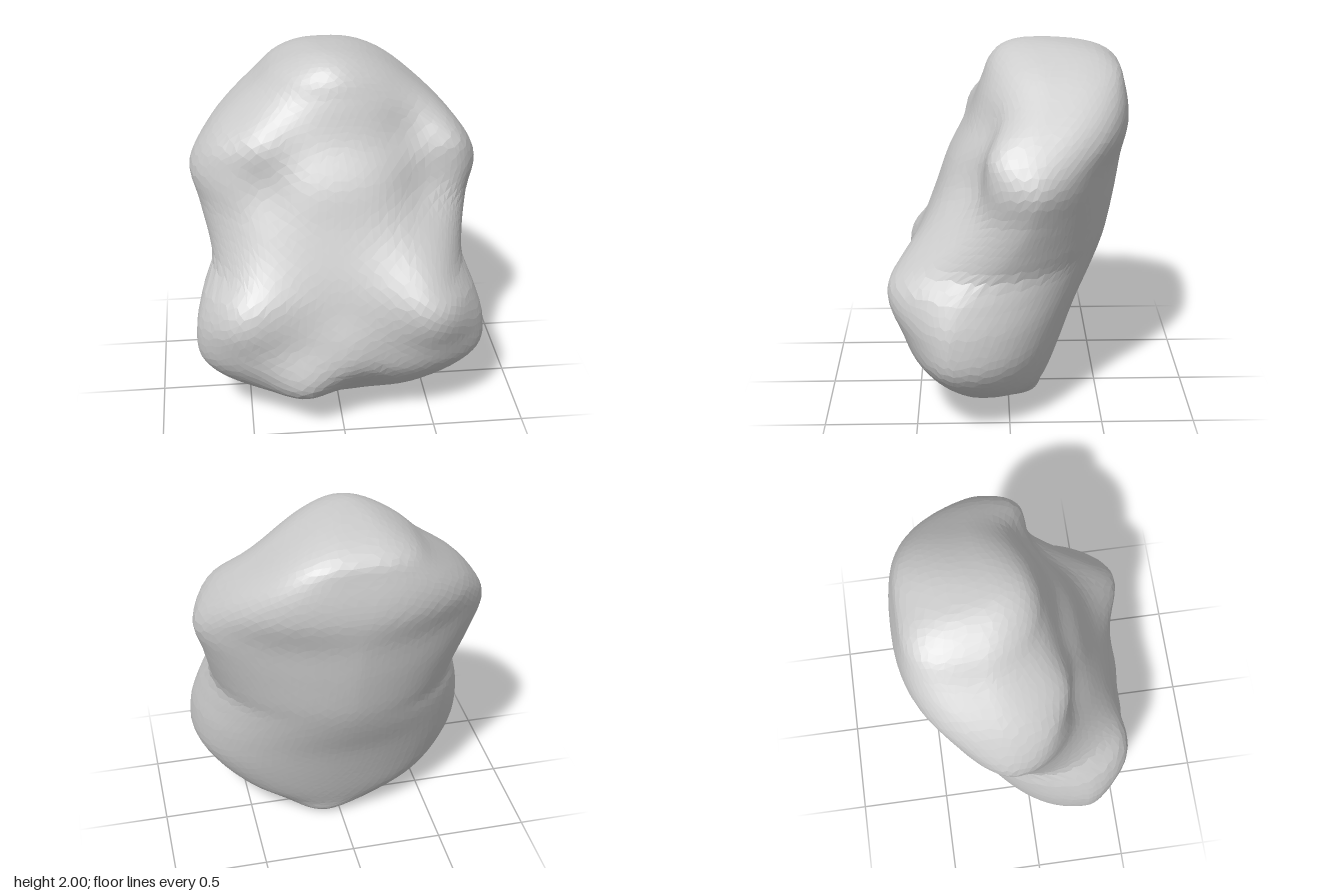
import * as THREE from 'three';

// Cross-sections, top to bottom: y, min x, max x, z of widest point, front z, back z,
// and back roundness (below 1 boxy, above 1 wedge-like)
const SECTIONS = [
  [2.00, -0.04, -0.04, -0.11, -0.11, -0.11, 0.75],
  [1.97, -0.19, 0.14, -0.18, 0.03, -0.43, 0.7],
  [1.90, -0.32, 0.29, -0.21, 0.10, -0.57, 0.62],
  [1.80, -0.43, 0.43, -0.21, 0.14, -0.61, 0.62],
  [1.60, -0.66, 0.65, -0.17, 0.21, -0.64, 0.9],
  [1.40, -0.78, 0.77, -0.13, 0.32, -0.61, 1.22],
  [1.20, -0.74, 0.73, -0.08, 0.39, -0.58, 1.2],
  [1.00, -0.69, 0.69, 0.02, 0.46, -0.54, 1.12],
  [0.90, -0.68, 0.68, 0.09, 0.49, -0.51, 1.08],
  [0.80, -0.73, 0.72, 0.17, 0.51, -0.47, 1.05],
  [0.60, -0.78, 0.78, 0.26, 0.53, -0.38, 1],
  [0.40, -0.76, 0.77, 0.27, 0.54, -0.31, 1],
  [0.20, -0.58, 0.58, 0.17, 0.42, -0.24, 0.95],
  [0.10, -0.34, 0.38, 0.06, 0.28, -0.20, 0.95],
  [0.03, -0.08, 0.22, -0.05, 0.12, -0.17, 1],
  [0.00, 0.08, 0.08, -0.10, -0.10, -0.10, 1],
];

// Local swellings and hollows: centre, radius, push in x and z
const BUMPS = [
  { at: [0.50, 0.82, 0.42], r: 0.30, dx: 0.01, dz: 0.21 },   // left lower lobe
  { at: [-0.56, 0.75, 0.40], r: 0.27, dx: -0.01, dz: 0.13 }, // right lower lobe
  { at: [-0.22, 0.29, 0.47], r: 0.18, dx: 0, dz: 0.10 },     // lower lip
  { at: [0.02, 0.55, 0.52], r: 0.18, dx: 0, dz: 0.05 },      // belly
  { at: [0.08, 0.22, 0.40], r: 0.19, dx: 0, dz: -0.06 },     // notch under the front
  { at: [-0.40, 1.60, 0.10], r: 0.17, dx: -0.02, dz: 0.07 }, // right front knob
  { at: [-0.38, 1.36, 0.25], r: 0.15, dx: 0, dz: -0.04 },    // hollow below the knob
  { at: [-0.62, 1.56, 0.00], r: 0.16, dx: -0.01, dz: 0.06 }, // right shoulder
  { at: [0.64, 1.57, 0.00], r: 0.17, dx: 0.02, dz: 0.08 },   // left shoulder
  { at: [0.45, 1.33, 0.20], r: 0.18, dx: -0.02, dz: -0.09 }, // groove beside left shoulder
  { at: [0.38, 1.62, 0.12], r: 0.15, dx: 0, dz: -0.04 },     // upper end of the groove
];

const angleOf = (y) => Math.acos(THREE.MathUtils.clamp(y - 1, -1, 1));
const ANGLES = SECTIONS.map((s) => angleOf(s[0]));

// Smooth interpolation of one section column over the polar angle
function sample(col, a) {
  const last = SECTIONS.length - 1;
  let i = 0;
  while (i < last - 1 && a > ANGLES[i + 1]) i++;
  const slope = (k) => {
    const p = Math.max(k - 1, 0), n = Math.min(k + 1, last);
    return (SECTIONS[n][col] - SECTIONS[p][col]) / (ANGLES[n] - ANGLES[p]);
  };
  const h = ANGLES[i + 1] - ANGLES[i];
  const t = (a - ANGLES[i]) / h, t2 = t * t, t3 = t2 * t;
  return (2 * t3 - 3 * t2 + 1) * SECTIONS[i][col] + (t3 - 2 * t2 + t) * h * slope(i)
    + (3 * t2 - 2 * t3) * SECTIONS[i + 1][col] + (t3 - t2) * h * slope(i + 1);
}

const signedPow = (v, e) => Math.sign(v) * Math.abs(v) ** e;

// Carries a point of the unit sphere to the rock surface
function shape(v) {
  // Shift the grid a little so the facets are irregular
  const { x, y, z } = v;
  v.x += 0.010 * Math.sin(41 * y + 67 * z);
  v.y += 0.010 * Math.sin(53 * z + 71 * x);
  v.z += 0.010 * Math.sin(47 * x + 61 * y);
  v.normalize();

  const a = angleOf(v.y + 1);
  const ring = Math.max(Math.hypot(v.x, v.z), 1e-6);
  const [x0, x1, side, zFront, zBack, round] = [1, 2, 3, 4, 5, 6].map((col) => sample(col, a));
  const back = v.z < 0;
  const c = signedPow(v.x / ring, back ? round : 1);
  const s = signedPow(v.z / ring, back ? round : 1);
  const p = new THREE.Vector3(
    (x0 + x1) / 2 + ((x1 - x0) / 2) * c,
    1 + v.y,
    side + (back ? side - zBack : zFront - side) * s
  );
  let dx = 0, dz = 0;
  for (const b of BUMPS) {
    const d = p.distanceTo(new THREE.Vector3(...b.at)) / b.r;
    const w = Math.exp(-d * d);
    dx += b.dx * w;
    dz += b.dz * w;
  }
  return p.set(p.x + dx, p.y, p.z + dz);
}

export function createModel() {
  const group = new THREE.Group();
  group.name = 'rock';

  // One closed, faceted boulder
  const geometry = new THREE.IcosahedronGeometry(1, 19);
  const pos = geometry.attributes.position;
  const v = new THREE.Vector3();
  for (let i = 0; i < pos.count; i++) {
    const p = shape(v.fromBufferAttribute(pos, i));
    pos.setXYZ(i, p.x, p.y, p.z);
  }
  geometry.computeVertexNormals();

  const boulder = new THREE.Mesh(
    geometry,
    new THREE.MeshStandardMaterial({ color: 0xcccccc, flatShading: true })
  );
  boulder.name = 'boulder';
  group.add(boulder);
  return group;
}
